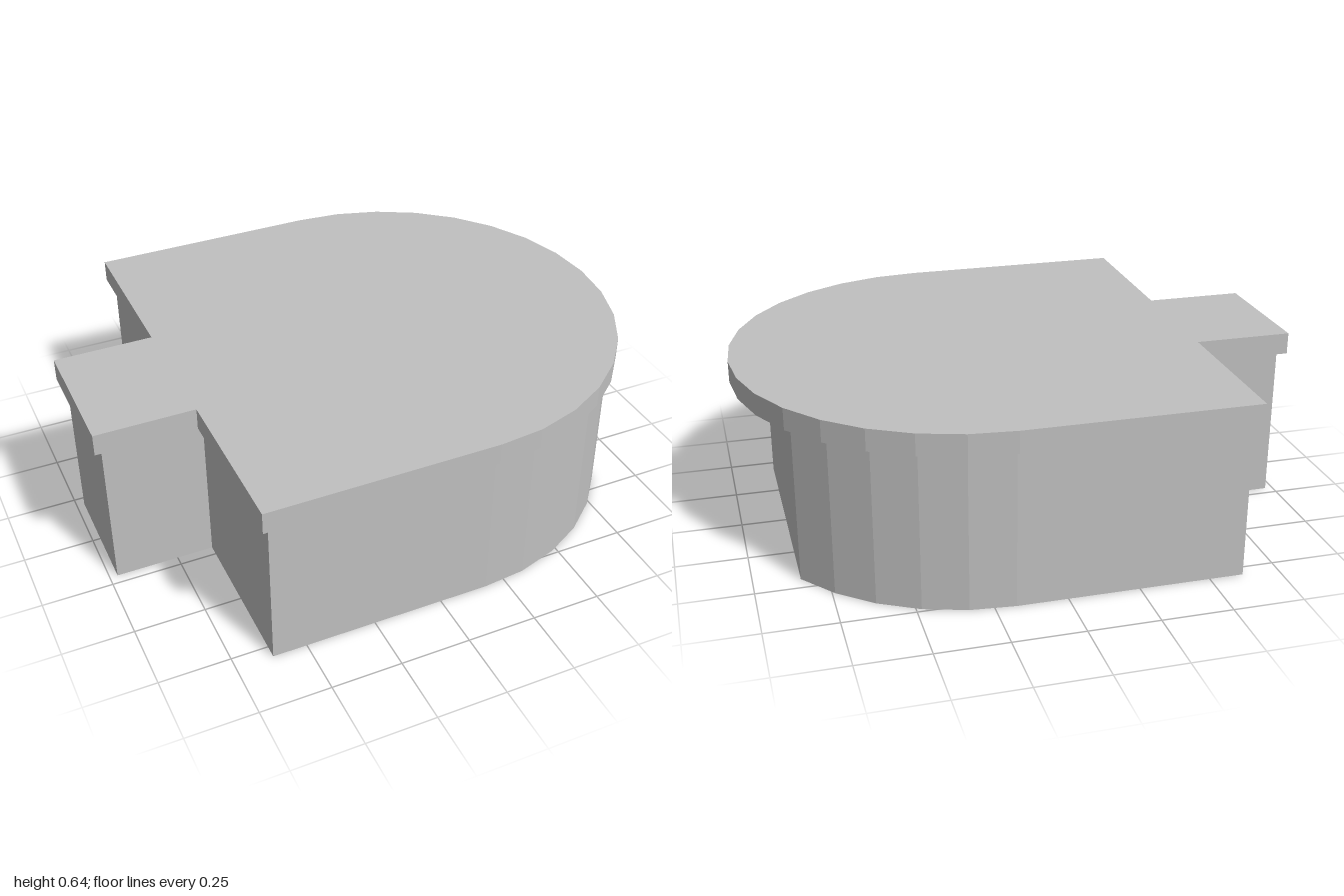
import * as THREE from 'three';

const ARC_CENTRE = 0.177;
const STEP = Math.PI / 16;

// Plan outline: narrow tab on the -x side, straight flanks, faceted arc on the +x side.
// arcStart is the first facet used; above zero it cuts the arc off with a flat end.
function outline({ radius, backX, tabX, tabHalf, arcStart }) {
  const points = [
    [backX, -radius], [backX, -tabHalf], [tabX, -tabHalf],
    [tabX, tabHalf], [backX, tabHalf], [backX, radius],
  ].map(([x, y]) => new THREE.Vector2(x, y));
  for (let i = 8; i >= -8; i--) {
    if (Math.abs(i) < arcStart) continue;
    const a = i * STEP;
    points.push(new THREE.Vector2(ARC_CENTRE + radius * Math.cos(a), radius * Math.sin(a)));
  }
  return new THREE.Shape(points);
}

function slab(name, plan, bottom, height, material) {
  const geometry = new THREE.ExtrudeGeometry(outline(plan), { depth: height, bevelEnabled: false });
  geometry.rotateX(-Math.PI / 2);
  const mesh = new THREE.Mesh(geometry, material);
  mesh.name = name;
  mesh.position.y = bottom;
  return mesh;
}

export function createModel() {
  const model = new THREE.Group();
  model.name = 'tabbedBlock';
  const grey = new THREE.MeshStandardMaterial({ color: 0xc0c0c0 });
  grey.name = 'light grey';

  // Main block, its rounded side cut flat
  model.add(slab('body', { radius: 0.797, backX: -0.62, tabX: -0.972, tabHalf: 0.213, arcStart: 3 }, 0, 0.562, grey));
  // Overhanging top plate with the full arc
  model.add(slab('topPlate', { radius: 0.823, backX: -0.646, tabX: -1, tabHalf: 0.239, arcStart: 0 }, 0.562, 0.078, grey));

  return model;
}
